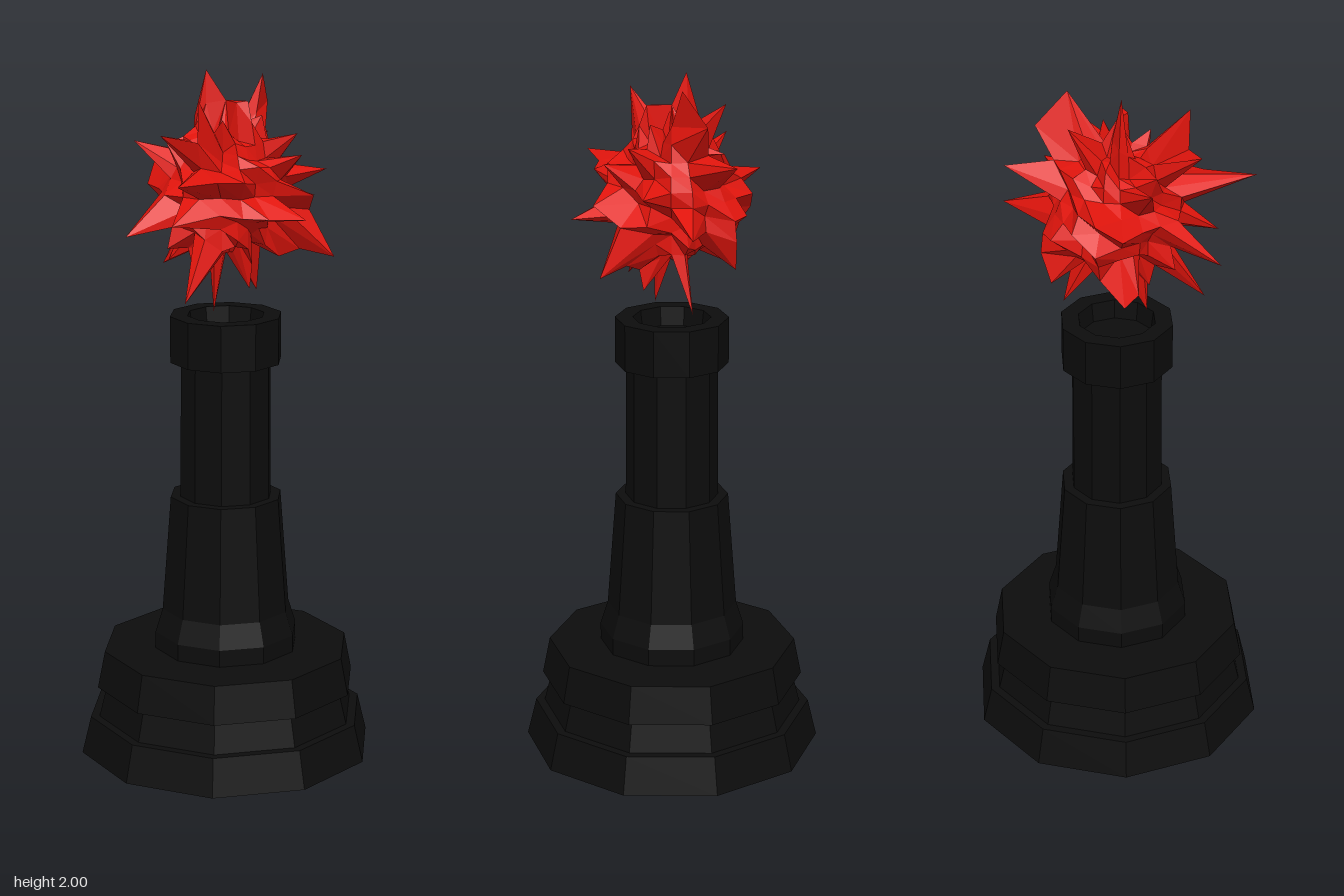
import * as THREE from 'three';
import { mergeVertices } from 'three/addons/utils/BufferGeometryUtils.js';

const SIDES = 10;
const CENTRE = new THREE.Vector3(0, 1.665, 0);

// Small seeded generator for the uneven spikes
function seeded(seed) {
  return () => {
    seed = (seed * 16807) % 2147483647;
    return seed / 2147483647;
  };
}

// Ten-sided faceted turned piece from [radius, height] pairs, bottom to top
function turned(name, profile, material) {
  const points = profile.map(([r, y]) => new THREE.Vector2(r, y));
  const mesh = new THREE.Mesh(new THREE.LatheGeometry(points, SIDES), material);
  mesh.name = name;
  return mesh;
}

// Faceted sphere with every vertex pushed in or out, plus the long outer spikes
function spikyBall(material) {
  const sphere = new THREE.SphereGeometry(1, 20, 14);
  sphere.deleteAttribute('uv');
  sphere.deleteAttribute('normal');
  const geometry = mergeVertices(sphere, 1e-4);
  const pos = geometry.attributes.position;
  const random = seeded(4217);
  const v = new THREE.Vector3();
  const dirs = [];
  for (let i = 0; i < pos.count; i++) {
    v.fromBufferAttribute(pos, i).normalize();
    dirs.push(v.clone());
    const r = random() < 0.22 ? 0.21 + 0.06 * random() : 0.145 + 0.055 * random();
    v.multiplyScalar(r);
    pos.setXYZ(i, v.x, v.y, v.z);
  }

  // Tips of the longest spikes; each takes over the nearest free vertex
  const tips = [
    [-0.04, 2.0, -0.04], [0.14, 1.98, -0.03], [-0.16, 1.94, 0.12], [0.06, 1.93, -0.15],
    [0.2, 1.89, -0.1], [0.25, 1.79, -0.18], [-0.24, 1.84, 0.05], [-0.3, 1.73, 0.25],
    [0.29, 1.71, 0.075], [-0.33, 1.56, 0.01], [0.34, 1.61, -0.06], [0.09, 1.61, 0.28],
    [-0.09, 1.72, -0.25], [0.08, 1.62, -0.21], [0.24, 1.48, 0.195], [-0.21, 1.38, 0.13],
    [-0.07, 1.33, 0.05], [0.14, 1.35, -0.06], [0.03, 1.39, 0.08], [-0.21, 1.8, -0.155],
    [0.1, 1.47, -0.18], [-0.25, 1.6, 0.13], [0.03, 1.92, 0.07], [-0.12, 1.44, -0.15],
  ];
  const used = new Set();
  for (const tip of tips) {
    v.set(...tip).sub(CENTRE);
    const dir = v.clone().normalize();
    let best = -1;
    dirs.forEach((d, i) => {
      if (!used.has(i) && (best < 0 || d.dot(dir) > dirs[best].dot(dir))) best = i;
    });
    used.add(best);
    pos.setXYZ(best, v.x, v.y, v.z);
  }
  geometry.computeVertexNormals();
  const mesh = new THREE.Mesh(geometry, material);
  mesh.name = 'spikyBall';
  mesh.position.copy(CENTRE);
  return mesh;
}

export function createModel() {
  const black = new THREE.MeshStandardMaterial({ color: 0x0c0c0c, flatShading: true });
  const red = new THREE.MeshStandardMaterial({ color: 0xe0140c, flatShading: true });
  const group = new THREE.Group();
  group.name = 'spikedPedestal';

  // Stepped foot
  group.add(turned('base', [
    [0, 0], [0.435, 0], [0.408, 0.11], [0.382, 0.11], [0.36, 0.2],
    [0.386, 0.2], [0.364, 0.31], [0, 0.31],
  ], black));

  // Tapered lower column with a flared collar
  group.add(turned('lowerColumn', [
    [0.212, 0.3], [0.212, 0.36], [0.19, 0.43], [0.164, 0.77], [0, 0.77],
  ], black));

  // Slim upper column
  group.add(turned('upperColumn', [[0.135, 0.76], [0.132, 1.18]], black));

  // Rim with a shallow cup
  group.add(turned('rim', [
    [0.12, 1.17], [0.163, 1.17], [0.163, 1.305], [0.112, 1.305], [0.105, 1.25], [0, 1.25],
  ], black));

  // Floating spiked ball
  group.add(spikyBall(red));
  return group;
}
